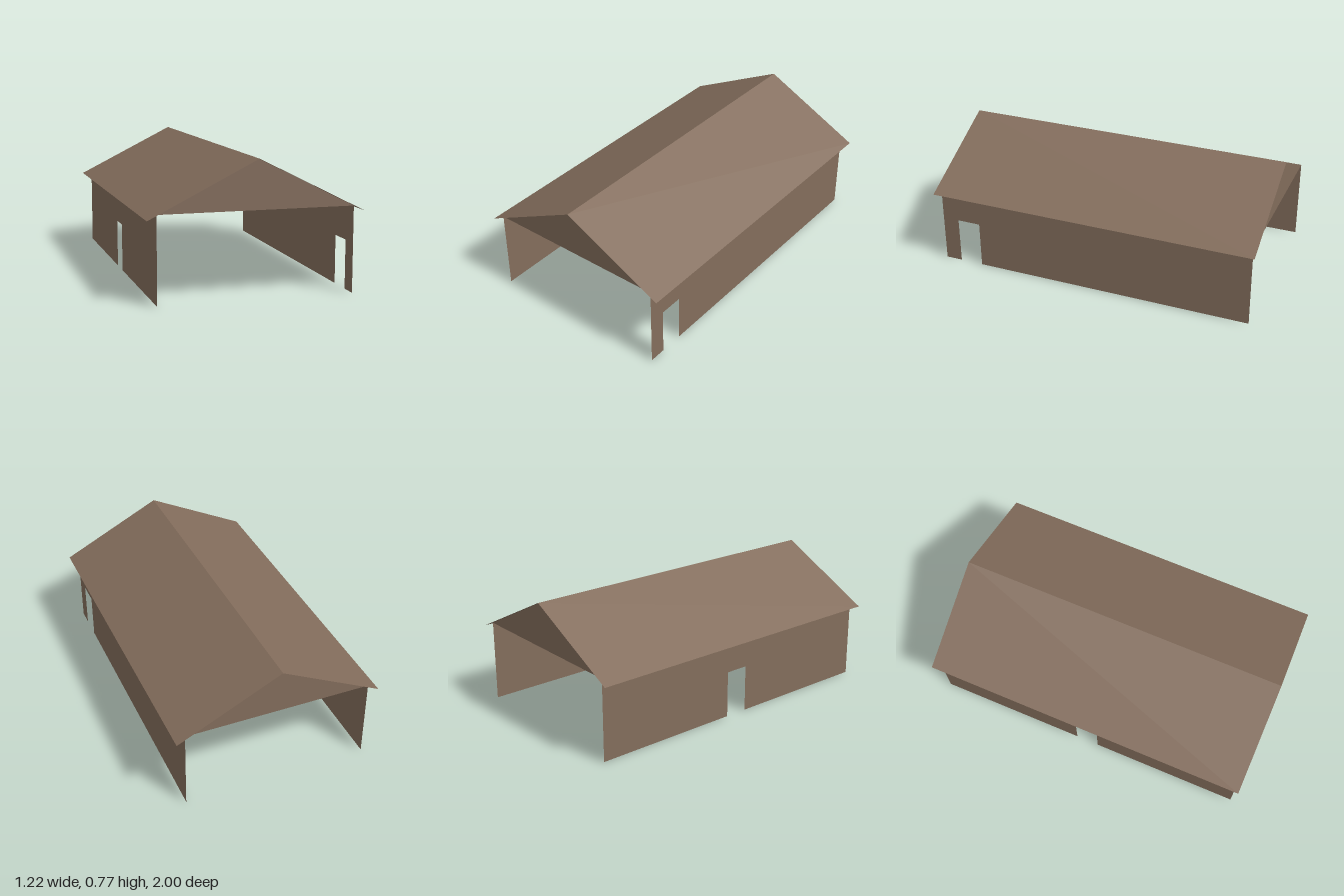
import * as THREE from 'three';

const RIDGE_Y = 0.77, EAVE_Y = 0.464, EAVE_X = 0.612, ROOF_Z = 1;
const WALL_X = 0.555, WALL_Y = 0.491, WALL_Z = 0.977;
const DOOR_HEIGHT = 0.282;

export function createModel() {
  const group = new THREE.Group();
  const brown = new THREE.MeshStandardMaterial({ color: 0x836d5c, side: THREE.DoubleSide });
  brown.name = 'brown timber';

  const add = (name, geometry) => {
    const mesh = new THREE.Mesh(geometry, brown);
    mesh.name = name;
    group.add(mesh);
    return mesh;
  };
  const flat = (points) =>
    new THREE.ShapeGeometry(new THREE.Shape(points.map(([x, y]) => new THREE.Vector2(x, y))));

  // Side wall: a sheet with a doorway between z0 and z1, turned to face outwards
  const sideWall = (name, side, z0, z1) => {
    const [a, b] = side > 0 ? [-z1, -z0] : [z0, z1];
    const wall = add(name, flat([
      [-WALL_Z, 0], [a, 0], [a, DOOR_HEIGHT], [b, DOOR_HEIGHT], [b, 0],
      [WALL_Z, 0], [WALL_Z, WALL_Y], [-WALL_Z, WALL_Y],
    ]));
    wall.rotation.y = side * Math.PI / 2;
    wall.position.x = side * WALL_X;
  };
  sideWall('leftWall', 1, 0.732, 0.875);
  sideWall('rightWall', -1, -0.073, 0.068);

  // Gable triangles above the open ends
  for (const end of [1, -1]) {
    const gable = add(end > 0 ? 'frontGable' : 'backGable',
      flat([[-WALL_X, WALL_Y], [WALL_X, WALL_Y], [0, RIDGE_Y]]));
    gable.position.z = end * WALL_Z;
    if (end < 0) gable.rotation.y = Math.PI;
  }

  // Two thin roof slopes meeting at the ridge
  const rise = RIDGE_Y - EAVE_Y;
  for (const side of [1, -1]) {
    const slope = new THREE.PlaneGeometry(Math.hypot(EAVE_X, rise), ROOF_Z * 2);
    slope.rotateX(-Math.PI / 2);
    slope.rotateZ(-side * Math.atan2(rise, EAVE_X));
    slope.translate(side * EAVE_X / 2, (RIDGE_Y + EAVE_Y) / 2, 0);
    add(side > 0 ? 'leftRoofSlope' : 'rightRoofSlope', slope);
  }

  return group;
}
